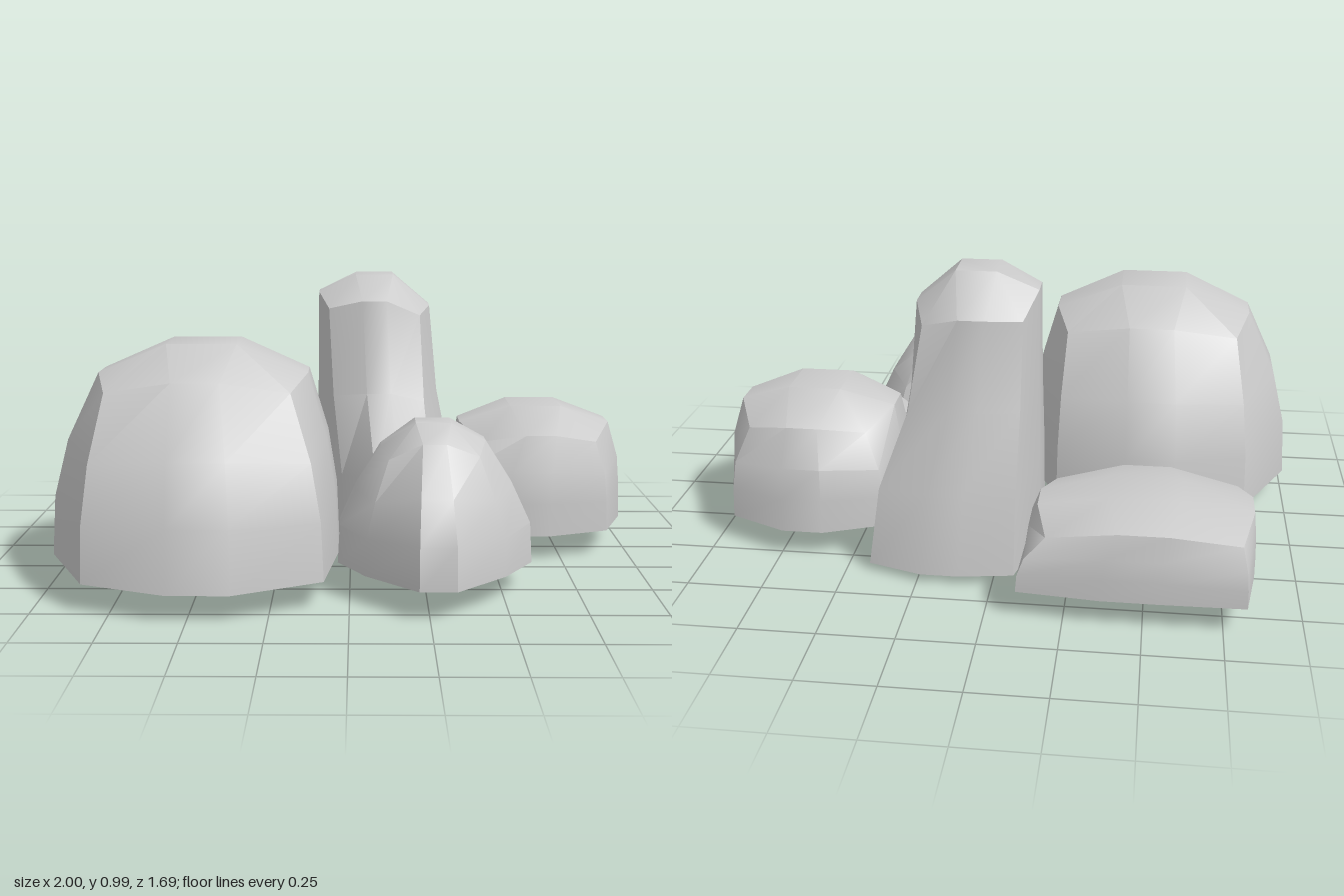
import * as THREE from 'three';
import { toCreasedNormals } from 'three/addons/utils/BufferGeometryUtils.js';

const { lerp } = THREE.MathUtils;

// Twelve-point outline: four corners, with two points per side pushed out to that side's limit.
// Corners run back-left, back-right, front-right, front-left; sides run back, right, front, left.
function outline(corners, sides) {
  return corners.flatMap((a, j) => {
    const b = corners[(j + 1) % 4];
    const mids = [0.37, 0.63].map((f) => {
      const p = [lerp(a[0], b[0], f), lerp(a[1], b[1], f)];
      p[1 - j % 2] = sides[j];
      return p;
    });
    return [a, ...mids];
  });
}

// Corners of a rectangle pulled in from its four sides
function rectangle([back, right, front, left], fx, fz) {
  return [[left + fx, back + fz], [right - fx, back + fz], [right - fx, front - fz], [left + fx, front - fz]];
}

// corners, sides: ground outline; rim: sides of the crown's edge; rimY: its height on each side;
// shrink: how far the two middle rings have moved from the ground outline towards the rim
function boulder({ name, floor = 0.09, tilt = 0, corners, sides, rim, inset, rimY, crownY, shrink }) {
  const base = outline(corners, sides);
  const edge = outline(rectangle(rim, inset, inset), rim);
  const edgeY = rimY.flatMap((y, j) => [(y + rimY[(j + 3) % 4]) / 2 - 0.04, y, y]);
  const rings = [[0, 0], [0.33, shrink[0]], [0.64, shrink[1]], [1, 1]];
  const N = 12, top = rings.length * N;
  const positions = [], index = [];

  // Rings from the ground to the rim, then four crown points
  for (const [t, s] of rings) {
    base.forEach(([x, z], i) => {
      const groundY = floor + tilt * (sides[2] - z);
      positions.push(lerp(x, edge[i][0], s), lerp(groundY, edgeY[i], t), lerp(z, edge[i][1], s));
    });
  }
  const [back, right, front, left] = rim;
  for (const [x, z] of rectangle(rim, (right - left) / 3, (front - back) / 3)) positions.push(x, crownY, z);

  const tri = (a, b, c) => { if (b !== c) index.push(a, b, c); };
  rings.forEach((_, k) => {
    // The last band joins three rim points to each crown point
    const upper = (i) => k < rings.length - 1
      ? (k + 1) * N + i % N
      : top + Math.floor((i % N + 1) / 3) % 4;
    for (let i = 0; i < N; i++) {
      const a = k * N + i, b = k * N + (i + 1) % N;
      tri(b, a, upper(i));
      tri(b, upper(i), upper(i + 1));
    }
  });

  // Flat crown and underside
  tri(top, top + 2, top + 1);
  tri(top, top + 3, top + 2);
  for (let i = 1; i < N - 1; i++) tri(0, i, i + 1);

  const geometry = new THREE.BufferGeometry();
  geometry.setAttribute('position', new THREE.Float32BufferAttribute(positions, 3));
  geometry.setIndex(index);
  const mesh = new THREE.Mesh(toCreasedNormals(geometry, 0.55), new THREE.MeshStandardMaterial({ color: 0xcccccc }));
  mesh.name = name;
  return mesh;
}

export function createModel() {
  const group = new THREE.Group();
  group.name = 'boulderCluster';

  group.add(boulder({
    name: 'largeBoulder',
    corners: [[-0.84, -0.15], [-0.17, -0.15], [-0.08, 0.7], [-0.84, 0.73]],
    sides: [-0.26, -0.04, 0.84, -1],
    rim: [-0.02, -0.14, 0.57, -0.84], inset: 0.05,
    rimY: [0.7, 0.7, 0.7, 0.7], crownY: 0.8, shrink: [0.08, 0.37],
  }));

  // Upright stone, set slightly deeper than the rest
  group.add(boulder({
    name: 'tallBoulder', floor: 0, tilt: 0.03,
    corners: [[-0.07, -0.62], [0.42, -0.59], [0.3, 0.2], [-0.02, 0.12]],
    sides: [-0.65, 0.39, 0.25, -0.13],
    rim: [-0.48, 0.29, -0.05, -0.12], inset: 0.04,
    rimY: [0.86, 0.87, 0.9, 0.92], crownY: 0.985, shrink: [0.2, 0.72],
  }));

  group.add(boulder({
    name: 'smallBoulder',
    corners: [[0.05, 0.24], [0.49, 0.22], [0.5, 0.64], [0.05, 0.64]],
    sides: [0.22, 0.6, 0.8, -0.04],
    rim: [0.3, 0.44, 0.6, 0.1], inset: 0.025,
    rimY: [0.5, 0.5, 0.51, 0.48], crownY: 0.56, shrink: [0.05, 0.42],
  }));

  group.add(boulder({
    name: 'roundBoulder',
    corners: [[0.4, -0.44], [0.94, -0.43], [0.92, 0.1], [0.34, 0.13]],
    sides: [-0.52, 1, 0.18, 0.37],
    rim: [-0.44, 0.95, 0.12, 0.4], inset: 0.07,
    rimY: [0.44, 0.45, 0.44, 0.45], crownY: 0.515, shrink: [0.06, 0.25],
  }));

  group.add(boulder({
    name: 'lowBoulder',
    corners: [[-0.82, -0.85], [-0.1, -0.83], [-0.14, -0.31], [-0.82, -0.3]],
    sides: [-0.855, -0.11, -0.3, -0.85],
    rim: [-0.83, -0.15, -0.32, -0.84], inset: 0.04,
    rimY: [0.31, 0.3, 0.31, 0.31], crownY: 0.35, shrink: [0.05, 0.28],
  }));

  return group;
}
